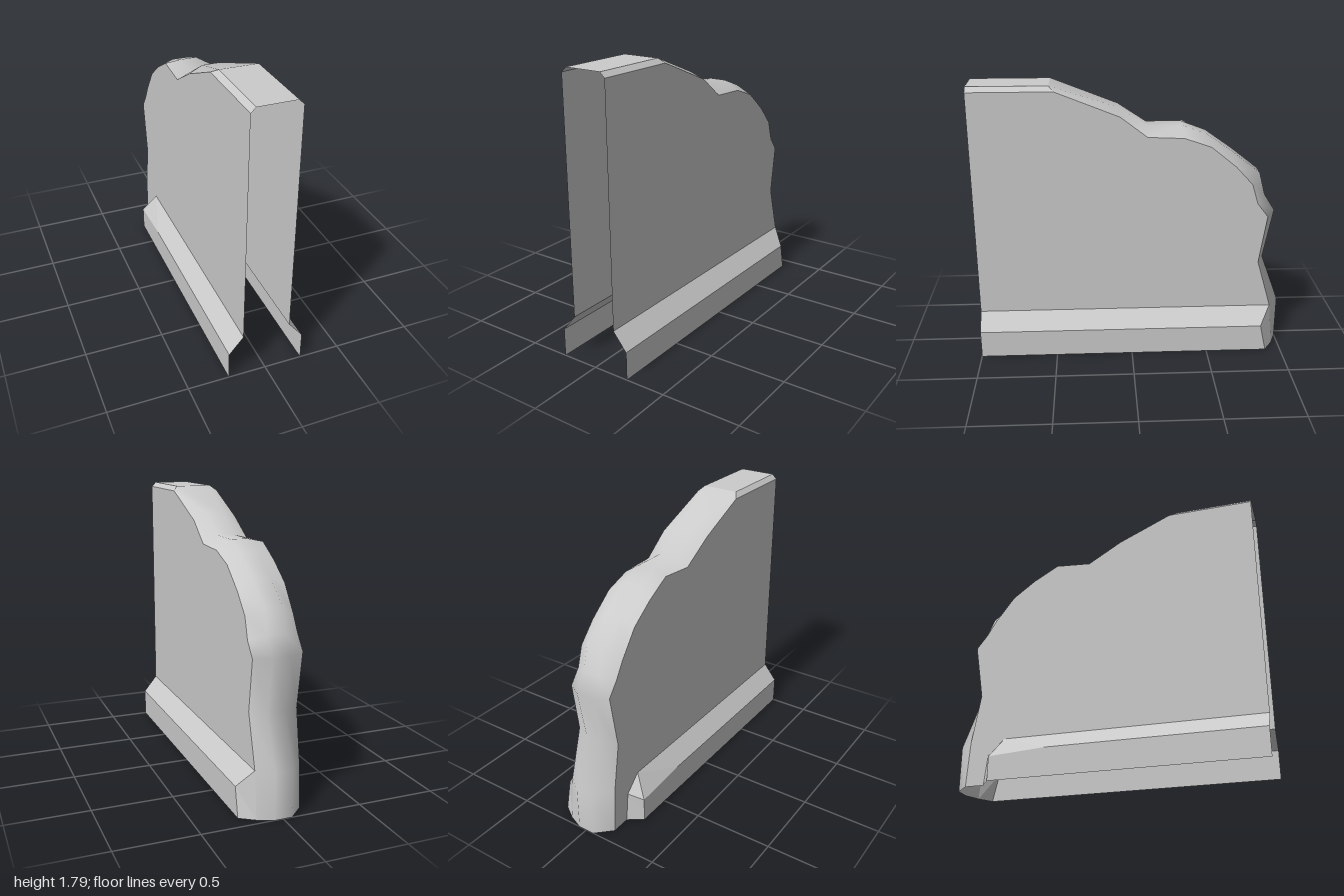
import * as THREE from 'three';

const material = new THREE.MeshStandardMaterial({ color: 0xcccccc, side: THREE.DoubleSide });
const HALF = 0.15;   // half thickness of the wall
const FOOT = 0.24;   // half width across the skirting

// Broken outline, front to back: [z, y] on the +x edge, the crest and the -x edge
const stations = [
  [1, 1.76, 1, 1.79, 1, 1.76],
  [0.47, 1.76, 0.5, 1.79, 0.45, 1.76],
  [0.07, 1.6, 0.08, 1.64, 0.11, 1.61],
  [-0.1, 1.47, -0.1, 1.52, -0.11, 1.48],
  [-0.33, 1.46, -0.32, 1.52, -0.34, 1.5],
  [-0.5, 1.4, -0.48, 1.46, -0.5, 1.41],
  [-0.66, 1.27, -0.65, 1.34, -0.65, 1.3],
  [-0.77, 1.15, -0.83, 1.2, -0.77, 1.14],
  [-0.81, 1.02, -0.87, 1.05, -0.83, 1.04],
  [-0.88, 0.93, -0.94, 0.94, -0.9, 0.95],
  [-0.835, 0.61, -0.88, 0.61, -0.84, 0.6],
  [-0.93, 0.29, -1, 0.29, -0.89, 0.29],
  [-0.96, 0, -1, 0, -0.907, 0],
];

// Surface through rows of points
function loft(rows, smooth) {
  const n = rows[0].length;
  const index = [];
  for (let r = 0; r < rows.length - 1; r++) {
    for (let c = 0; c < n - 1; c++) {
      const a = r * n + c, b = a + 1, d = a + n, e = d + 1;
      index.push(a, d, b, b, d, e);
    }
  }
  let geometry = new THREE.BufferGeometry();
  geometry.setAttribute('position', new THREE.Float32BufferAttribute(rows.flat(2), 3));
  geometry.setIndex(index);
  if (!smooth) geometry = geometry.toNonIndexed();
  geometry.computeVertexNormals();
  return geometry;
}

// Flat wall side from a [z, y] outline, placed at a given x
function wallSide(outline, x) {
  const shape = new THREE.Shape(outline.map(([z, y]) => new THREE.Vector2(-z, y)));
  const geometry = new THREE.ShapeGeometry(shape);
  geometry.rotateY(Math.PI / 2);
  geometry.translate(x, 0, 0);
  if (x < 0) {
    geometry.index.array.reverse();
    geometry.computeVertexNormals();
  }
  return geometry;
}

export function createModel() {
  const group = new THREE.Group();
  const add = (name, geometry) => {
    const mesh = new THREE.Mesh(geometry, material);
    mesh.name = name;
    group.add(mesh);
  };

  // Rim: straight chamfered top, then the ragged broken edge down to the floor
  const rows = stations.map(([zp, yp, zm, ym, zn, yn], i) => {
    const crest = i < 2 ? 0.12 : 0.055;
    return [[-HALF, yn, zn], [-crest, ym, zm], [crest, ym, zm], [HALF, yp, zp]];
  });
  add('topEdge', loft(rows.slice(0, 2), false));
  add('brokenEdge', loft(rows.slice(1), true));

  // Wall sides; the -x one reaches the floor behind its shorter skirting
  const plusEdge = stations.slice(0, -1).map((s) => [s[0], s[1]]);
  const minusEdge = stations.map((s) => [s[4], s[5]]);
  add('leftWall', wallSide([...plusEdge, [1, 0.29]], HALF));
  add('rightWall', wallSide(
    [...minusEdge, [-0.785, 0], [-0.765, 0.19], [-0.66, 0.29], [1, 0.29]], -HALF));

  // Left skirting, running into the broken edge
  add('leftSkirting', loft([
    [[HALF, 0.29, 1], [FOOT, 0.18, 1], [FOOT, 0, 1]],
    [[HALF, 0.29, -0.93], [FOOT, 0.18, -0.86], [FOOT, 0, -0.9]],
  ].reverse(), false));
  add('leftSkirtingEnd', loft([
    [[HALF, 0.29, -0.93], [FOOT, 0.18, -0.86]],
    [[HALF, 0, -0.96], [FOOT, 0, -0.9]],
  ], false));

  // Right skirting, stopping short with a chipped end
  add('rightSkirting', loft([
    [[-HALF, 0.29, 1], [-FOOT, 0.18, 1], [-FOOT, 0, 1]],
    [[-HALF, 0.29, -0.35], [-FOOT, 0.18, -0.35], [-FOOT, 0, -0.35]],
    [[-HALF, 0.29, -0.66], [-FOOT, 0.155, -0.72], [-FOOT, 0, -0.72]],
  ], false));
  add('rightSkirtingEnd', loft([
    [[-HALF, 0.29, -0.66], [-FOOT, 0.155, -0.72], [-FOOT, 0, -0.72]],
    [[-HALF, 0.29, -0.66], [-HALF, 0.19, -0.765], [-HALF, 0, -0.785]],
  ], false));

  return group;
}
